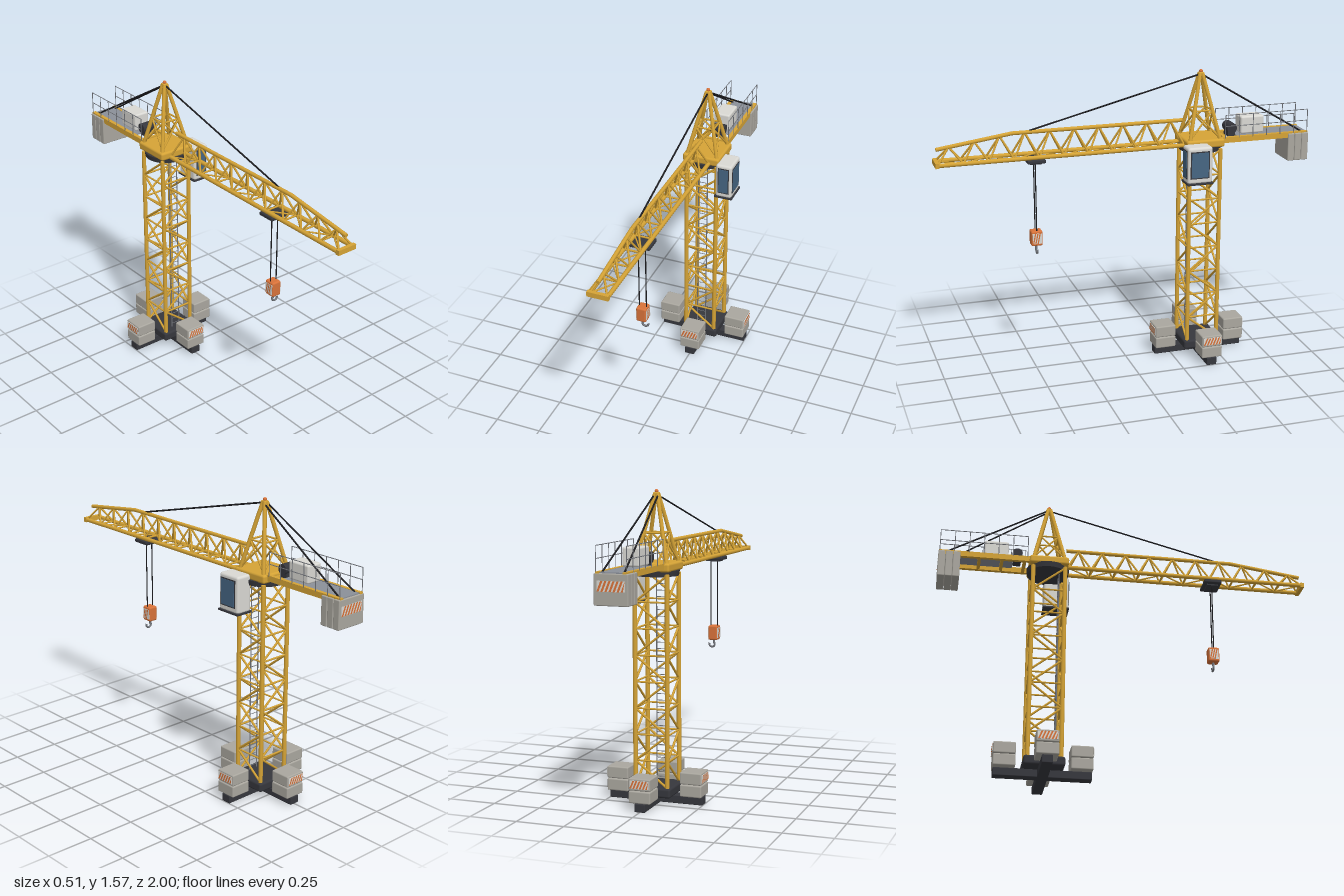
import * as THREE from 'three';
import { mergeGeometries } from 'three/addons/utils/BufferGeometryUtils.js';
import { RoundedBoxGeometry } from 'three/addons/geometries/RoundedBoxGeometry.js';

const mat = (name, color, side = THREE.FrontSide) => {
  const m = new THREE.MeshStandardMaterial({ color, side });
  m.name = name;
  return m;
};
const yellow = mat('craneYellow', 0xd6a436);
const dark = mat('darkSteel', 0x36373d);
const concrete = mat('concrete', 0xaaa79f);
const white = mat('cabWhite', 0xdad9d4);
const glass = mat('glass', 0x466683);
const orange = mat('signalOrange', 0xd9733a);
const grey = mat('deckGrey', 0x8b9099);
const black = mat('cableBlack', 0x1d1d20);
const steel = mat('hookSteel', 0x777a80);

const V = (x, y, z) => new THREE.Vector3(x, y, z);
const MZ = -0.41; // mast axis

// Geometry of a round bar between two points
function bar(a, b, r, sides = 6) {
  const d = b.clone().sub(a);
  const g = new THREE.CylinderGeometry(r, r, d.length(), sides);
  g.applyQuaternion(new THREE.Quaternion().setFromUnitVectors(V(0, 1, 0), d.normalize()));
  const c = a.clone().add(b).multiplyScalar(0.5);
  return g.translate(c.x, c.y, c.z);
}

function add(parent, name, geo, material, x = 0, y = 0, z = 0) {
  const m = new THREE.Mesh(Array.isArray(geo) ? mergeGeometries(geo) : geo, material);
  m.name = name;
  m.position.set(x, y, z);
  parent.add(m);
  return m;
}

const box = (w, h, d) => new THREE.BoxGeometry(w, h, d);
const soft = (w, h, d, r = 0.007) => new RoundedBoxGeometry(w, h, d, 2, r);

// Striped plate facing +z: white backing with slanted orange stripes
function stripedPlate(name, w, h, n) {
  const g = new THREE.Group();
  g.name = name;
  add(g, 'plateBacking', box(w, h, 0.003), white);
  const step = w / n, lean = step;
  const shapes = [];
  for (let i = 0; i < n; i++) {
    const x = -w / 2 + i * step, t = step * 0.55;
    const x2 = Math.min(x + lean, w / 2), x3 = Math.min(x + lean + t, w / 2);
    const s = new THREE.Shape([
      [x, -h / 2], [x + t, -h / 2], [x3, h / 2], [x2, h / 2],
    ].map(([a, b]) => new THREE.Vector2(a, b)));
    if (x3 > x2) shapes.push(s);
  }
  add(g, 'plateStripes', new THREE.ShapeGeometry(shapes), orange, 0, 0, 0.0025);
  return g;
}

function buildBase() {
  const g = new THREE.Group();
  g.name = 'base';
  g.position.z = MZ;
  add(g, 'crossBeamX', soft(0.5, 0.042, 0.055, 0.004), dark, 0, 0.021, 0);
  add(g, 'crossBeamZ', soft(0.055, 0.042, 0.5, 0.004), dark, 0, 0.021, 0);
  add(g, 'mastFooting', soft(0.21, 0.05, 0.21, 0.012), dark, 0, 0.065, 0);
  // Ballast stack on each arm
  for (let i = 0; i < 4; i++) {
    const arm = new THREE.Group();
    arm.name = 'ballastStack';
    arm.rotation.y = i * Math.PI / 2;
    for (const y of [0.075, 0.139]) add(arm, 'ballastBlock', soft(0.114, 0.062, 0.114), concrete, 0, y, 0.196);
    const p = stripedPlate('warningPlate', 0.1, 0.04, 6);
    p.position.set(0, 0.14, 0.2545);
    arm.add(p);
    g.add(arm);
  }
  return g;
}

function buildMast() {
  const g = new THREE.Group();
  g.name = 'mast';
  g.position.z = MZ;
  const h = 0.085, y0 = 0.088, bays = 8, step = (1.155 - y0) / bays;
  const legs = [], lacing = [];
  for (let f = 0; f < 4; f++) {
    const rot = (x, y, z) => V(x, y, z).applyAxisAngle(V(0, 1, 0), f * Math.PI / 2);
    legs.push(bar(rot(h, 0.05, h), rot(h, 1.16, h), 0.0115, 10));
    for (let i = 0; i < bays; i++) {
      const y = y0 + i * step, s = i % 2 ? h : -h;
      lacing.push(bar(rot(-s, y, h), rot(s, y + step, h), 0.006));
      if (i) lacing.push(bar(rot(-h, y, h), rot(h, y, h), 0.005));
    }
  }
  add(g, 'mastLegs', legs, yellow);
  add(g, 'mastLacing', lacing, yellow);
  // Ladder inside the mast
  const ladder = [-1, 1].map(s => bar(V(s * 0.025, 0.09, 0.06), V(s * 0.025, 1.15, 0.06), 0.003));
  for (let y = 0.11; y < 1.14; y += 0.033) ladder.push(bar(V(-0.025, y, 0.06), V(0.025, y, 0.06), 0.002, 4));
  add(g, 'ladder', ladder, steel);
  return g;
}

function buildTop() {
  const g = new THREE.Group();
  g.name = 'slewingTop';
  g.position.z = MZ;
  add(g, 'slewingRing', new THREE.CylinderGeometry(0.115, 0.11, 0.028, 32), dark, 0, 1.162, 0);
  add(g, 'turntable', soft(0.205, 0.045, 0.21, 0.012), yellow, 0, 1.194, 0);
  // Four-legged tower head with braces
  const at = (sx, sz, y) => {
    const k = 0.083 + (0.008 - 0.083) * (y - 1.21) / 0.335;
    return V(sx * k, y, sz * k);
  };
  const ring = [[1, 1], [-1, 1], [-1, -1], [1, -1]];
  const legs = [], braces = [];
  ring.forEach(([x, z], i) => {
    const [u, w] = ring[(i + 1) % 4];
    legs.push(bar(at(x, z, 1.21), at(x, z, 1.55), 0.0105, 8));
    braces.push(bar(at(x, z, 1.36), at(u, w, 1.36), 0.005));
    braces.push(bar(at(x, z, 1.22), at(u, w, 1.36), 0.005), bar(at(u, w, 1.22), at(x, z, 1.36), 0.005));
  });
  add(g, 'towerHeadLegs', legs, yellow);
  add(g, 'towerHeadBraces', braces, yellow);
  add(g, 'towerHeadCap', soft(0.03, 0.022, 0.03, 0.005), yellow, 0, 1.547, 0);
  add(g, 'beacon', new THREE.SphereGeometry(0.01, 12, 8), orange, 0, 1.563, 0);
  return g;
}

function buildCab() {
  const g = new THREE.Group();
  g.name = 'cab';
  g.position.set(0.139, 1.105, -0.35);
  add(g, 'cabBody', soft(0.09, 0.195, 0.136, 0.014), white);
  add(g, 'cabFloor', soft(0.1, 0.012, 0.142, 0.004), dark, 0, -0.097, 0);
  // Front and side windows with dark frames
  add(g, 'frontWindowFrame', box(0.062, 0.15, 0.004), dark, 0, 0.005, 0.068);
  add(g, 'frontWindow', box(0.052, 0.138, 0.004), glass, 0, 0.005, 0.07);
  add(g, 'sideWindowFrame', box(0.004, 0.145, 0.104), dark, 0.045, 0.004, 0.003);
  add(g, 'sideWindow', box(0.004, 0.133, 0.092), glass, 0.047, 0.004, 0.003);
  return g;
}

function buildJib() {
  const g = new THREE.Group();
  g.name = 'jib';
  const z0 = -0.31, z1 = 0.988, n = 10, step = (z1 - z0) / n, yb = 1.183, hw = 0.045;
  const topY = z => (z < 0.6 ? 1.308 : 1.308 - (z - 0.6) * 0.14);
  const chords = [
    bar(V(0, topY(0), z0), V(0, topY(0), 0.6), 0.0105, 8),
    bar(V(0, topY(0), 0.6), V(0, topY(z1), z1), 0.0105, 8),
  ];
  const lacing = [];
  for (const s of [-1, 1]) {
    chords.push(bar(V(s * hw, yb, z0 - 0.02), V(s * hw, yb, z1), 0.0115, 8));
    for (let i = 0; i < n; i++) {
      const z = z0 + i * step, m = z + step / 2, apex = V(0, topY(m), m);
      lacing.push(bar(V(s * hw, yb, z), apex, 0.0055), bar(apex, V(s * hw, yb, z + step), 0.0055));
    }
  }
  for (let i = 0; i <= n; i++) {
    const z = z0 + i * step, s = i % 2 ? hw : -hw;
    lacing.push(bar(V(-hw, yb, z), V(hw, yb, z), 0.005));
    if (i < n) lacing.push(bar(V(s, yb, z), V(-s, yb, z + step), 0.004));
  }
  add(g, 'jibChords', chords, yellow);
  add(g, 'jibLacing', lacing, yellow);
  add(g, 'jibEndBar', box(0.11, 0.026, 0.02), yellow, 0, yb, 0.99);

  // Trolley, hoist ropes and hook block
  const t = new THREE.Group();
  t.name = 'trolley';
  t.position.z = 0.487;
  add(t, 'trolleyFrame', soft(0.122, 0.02, 0.095, 0.006), dark, 0, 1.163, 0);
  add(t, 'trolleyBelly', box(0.08, 0.012, 0.06), dark, 0, 1.151, 0);
  add(t, 'hoistRopes', [-1, 1].map(s => bar(V(s * 0.019, 0.77, 0), V(s * 0.019, 1.15, 0), 0.003)), black);
  add(t, 'hookBlock', soft(0.054, 0.082, 0.06, 0.009), orange, 0, 0.741, 0);
  for (const s of [-1, 1]) {
    const p = stripedPlate('hookBlockStripes', 0.048, 0.056, 4);
    p.position.set(s * 0.0275, 0.741, 0);
    p.rotation.y = s * Math.PI / 2;
    t.add(p);
  }
  add(t, 'hookShank', new THREE.CylinderGeometry(0.006, 0.006, 0.03, 8), steel, 0, 0.692, 0);
  add(t, 'hook', new THREE.TorusGeometry(0.016, 0.0055, 8, 20, Math.PI * 1.45), steel, 0.012, 0.675, 0)
    .rotation.z = Math.PI * 0.68;
  g.add(t);
  return g;
}

function buildCounterJib() {
  const g = new THREE.Group();
  g.name = 'counterJib';
  for (const s of [-1, 1]) add(g, 'sideBeam', box(0.02, 0.03, 0.49), yellow, s * 0.068, 1.201, -0.75);
  for (const z of [-0.54, -0.66, -0.78, -0.9]) add(g, 'crossBeam', box(0.12, 0.02, 0.016), yellow, 0, 1.197, z);
  add(g, 'deck', box(0.12, 0.006, 0.39), grey, 0, 1.211, -0.795);
  add(g, 'machineHouse', soft(0.09, 0.094, 0.13, 0.01), white, 0, 1.265, -0.69);
  add(g, 'winchDrum', new THREE.CylinderGeometry(0.027, 0.027, 0.08, 20).rotateZ(Math.PI / 2), dark, 0, 1.252, -0.577);
  add(g, 'winchStand', box(0.06, 0.03, 0.04), dark, 0, 1.222, -0.577);
  // Counterweight slabs
  for (let i = 0; i < 3; i++) add(g, 'counterweight', soft(0.172, 0.15, 0.038, 0.005), concrete, 0, 1.134, -0.9 - i * 0.039);
  const p = stripedPlate('counterweightStripes', 0.14, 0.05, 7);
  p.position.set(0, 1.15, -0.9965);
  p.rotation.y = Math.PI;
  g.add(p);
  // Handrails along both sides and across the end
  const rails = [];
  for (const s of [-1, 1]) {
    for (let i = 0; i < 7; i++) {
      const z = -0.525 - i * 0.0775;
      rails.push(bar(V(s * 0.077, 1.21, z), V(s * 0.077, 1.335, z), 0.0022, 5));
    }
    for (const y of [1.275, 1.335]) rails.push(bar(V(s * 0.077, y, -0.525), V(s * 0.077, y, -0.99), 0.0022, 5));
  }
  add(g, 'handrails', rails, steel);
  return g;
}

export function createModel() {
  const g = new THREE.Group();
  g.name = 'towerCrane';
  g.add(buildBase(), buildMast(), buildTop(), buildCab(), buildJib(), buildCounterJib());
  // Pendant cables from the tower head
  const ties = [bar(V(0, 1.548, MZ), V(0, 1.315, 0.51), 0.0045)];
  for (const s of [-1, 1]) ties.push(bar(V(s * 0.01, 1.548, MZ), V(s * 0.055, 1.212, -0.965), 0.0045));
  add(g, 'pendantCables', ties, black);
  return g;
}
